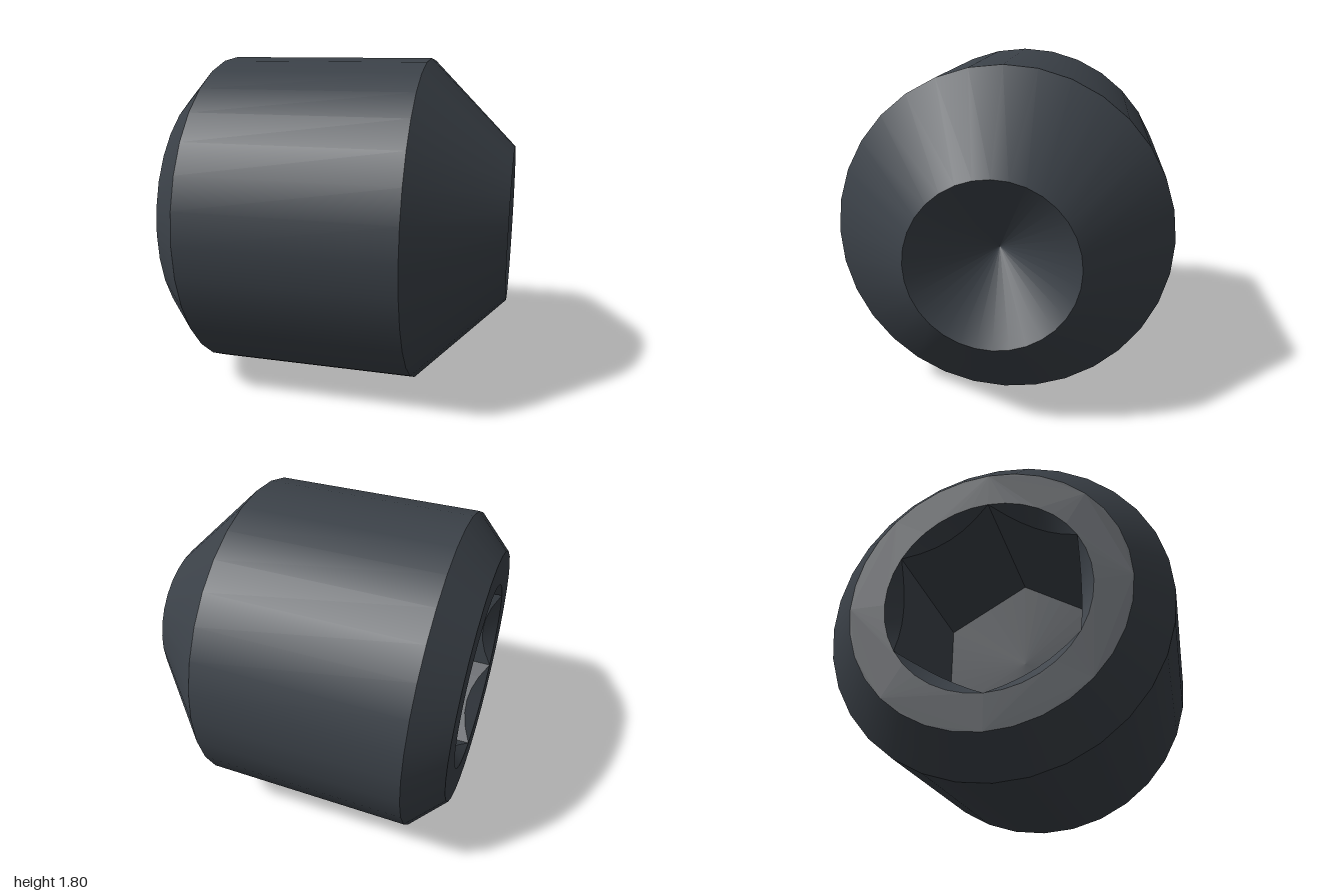
import * as THREE from 'three';
import { toCreasedNormals } from 'three/addons/utils/BufferGeometryUtils.js';

const SIDES = 32;
// Stations along the screw axis (local y) and radii
const BACK = -0.865, CHAMFER = -0.683, SHOULDER = 0.462, TIP = 0.93;
const BODY_R = 0.9, BACK_R = 0.716, TIP_R = 0.43;
const CUP_DEPTH = 0.31, HEX_R = 0.529, SOCKET_DEPTH = 0.84;

// Hex socket: conical countersink cut by six flats, walls and a flat floor
function socketGeometry() {
  const n = 36, rows = [[], [], [], []];
  const apothem = HEX_R * Math.cos(Math.PI / 6);
  for (let i = 0; i <= n; i++) {
    const t = (i / n) * Math.PI * 2;
    const flat = apothem / Math.cos((t % (Math.PI / 3)) - Math.PI / 6);
    const at = (r, y) => new THREE.Vector3(r * Math.cos(t), y, r * Math.sin(t));
    rows[0].push(at(HEX_R, BACK));
    rows[1].push(at(flat, BACK + (HEX_R - flat) * 1.1));
    rows[2].push(at(flat, BACK + SOCKET_DEPTH));
    rows[3].push(at(0, BACK + SOCKET_DEPTH));
  }
  const points = [];
  for (let k = 0; k < 3; k++) {
    for (let i = 0; i < n; i++) {
      const a = rows[k][i], b = rows[k][i + 1], c = rows[k + 1][i], d = rows[k + 1][i + 1];
      points.push(a, b, c);
      if (k < 2) points.push(b, d, c);
    }
  }
  return toCreasedNormals(new THREE.BufferGeometry().setFromPoints(points), 0.5);
}

// Flat ring around the socket
function backFaceGeometry() {
  const circle = (r, n) => Array.from({ length: n }, (_, i) => {
    const t = (i / n) * Math.PI * 2;
    return new THREE.Vector2(r * Math.cos(t), r * Math.sin(t));
  });
  const shape = new THREE.Shape(circle(BACK_R, SIDES));
  shape.holes.push(new THREE.Path(circle(HEX_R, 36)));
  return new THREE.ShapeGeometry(shape).rotateX(Math.PI / 2).translate(0, BACK, 0);
}

export function createModel() {
  const steel = new THREE.MeshStandardMaterial({ color: 0x3b4148 });
  steel.name = 'dark steel';

  const screw = new THREE.Group();
  screw.name = 'setScrew';
  const add = (name, geometry) => {
    const mesh = new THREE.Mesh(geometry, steel);
    mesh.name = name;
    screw.add(mesh);
  };

  // Each turned band is its own lathe, so the edges between bands stay sharp
  const band = (name, r0, y0, r1, y1) => add(name, new THREE.LatheGeometry(
    [new THREE.Vector2(r0, y0), new THREE.Vector2(r1, y1)], SIDES));
  band('backChamfer', BACK_R, BACK, BODY_R, CHAMFER);
  band('barrel', BODY_R, CHAMFER, BODY_R, SHOULDER);
  band('pointTaper', BODY_R, SHOULDER, TIP_R, TIP);
  band('cupPoint', TIP_R, TIP, 0, TIP - CUP_DEPTH);

  add('backFace', backFaceGeometry());
  add('hexSocket', socketGeometry());

  // Lay the axis down and turn it slightly towards the front
  screw.rotation.set(0, THREE.MathUtils.degToRad(-12), -Math.PI / 2, 'YXZ');
  screw.position.set(-0.004, BODY_R, 0.02);

  const model = new THREE.Group();
  model.name = 'model';
  model.add(screw);
  return model;
}
